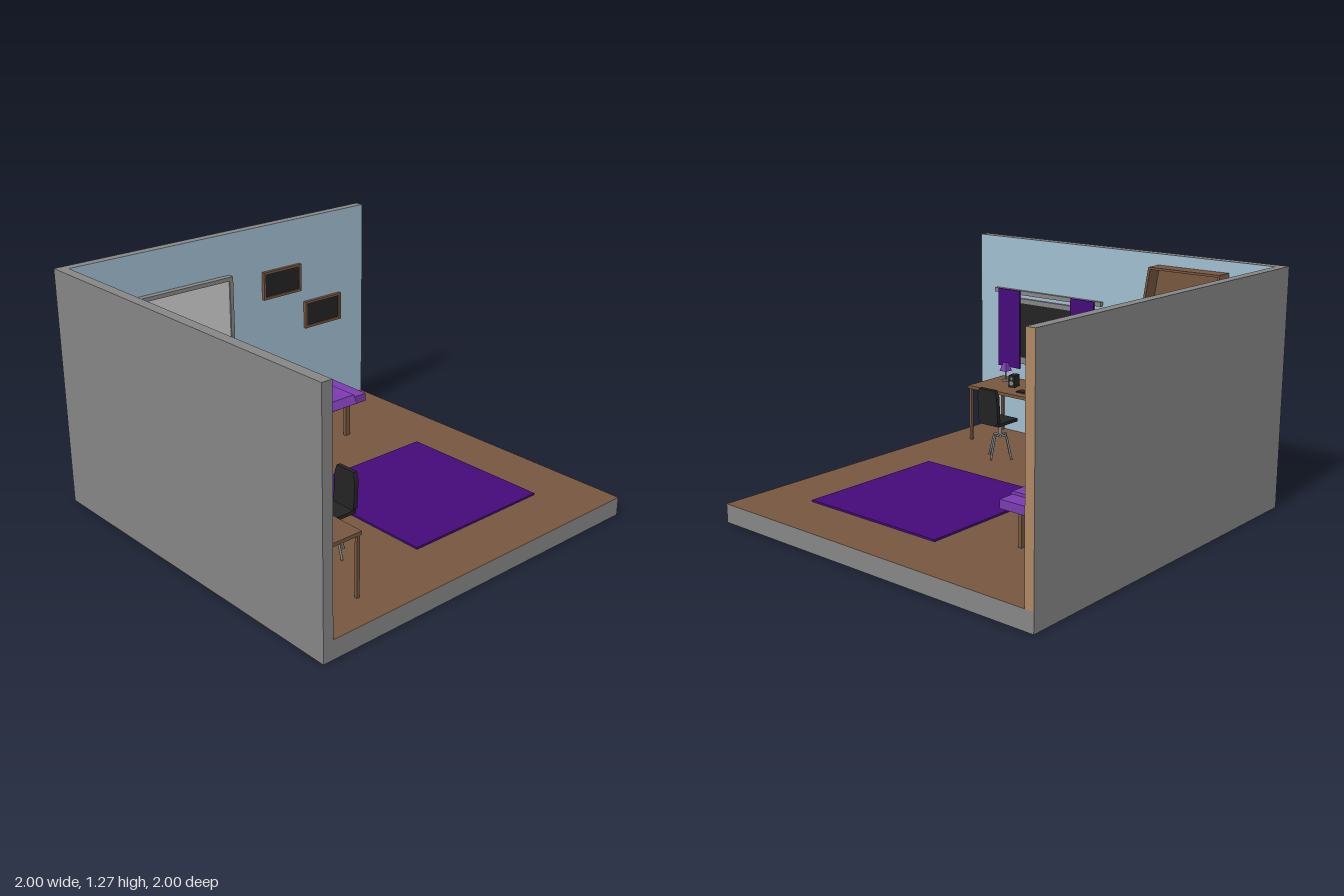
import * as THREE from 'three';

const mat = (name, color) => Object.assign(new THREE.MeshStandardMaterial({ color }), { name });
const grey = mat('grey', 0x858585);
const blue = mat('wall blue', 0xa0becf);
const brown = mat('wood brown', 0x76563f);
const tan = mat('tan', 0xae8763);
const violet = mat('dark purple', 0x450a7a);
const purple = mat('purple', 0x7a3bb0);
const black = mat('black', 0x232323);
const white = mat('white', 0xcfcfcf);

export function createModel() {
  const room = new THREE.Group();
  room.name = 'bedroom';

  const add = (name, geometry, material, parent = room) => {
    const mesh = new THREE.Mesh(geometry, material);
    mesh.name = name;
    parent.add(mesh);
    return mesh;
  };
  // Box given by its limits on each axis
  const box = (name, material, [x0, x1], [y0, y1], [z0, z1], parent = room) => {
    const mesh = add(name, new THREE.BoxGeometry(x1 - x0, y1 - y0, z1 - z0), material, parent);
    mesh.position.set((x0 + x1) / 2, (y0 + y1) / 2, (z0 + z1) / 2);
    return mesh;
  };
  const group = (name) => {
    const g = new THREE.Group();
    g.name = name;
    room.add(g);
    return g;
  };
  // Straight round bar between two points
  const bar = (name, material, from, to, r, parent) => {
    const a = new THREE.Vector3(...from), b = new THREE.Vector3(...to);
    const mesh = add(name, new THREE.CylinderGeometry(r, r, a.distanceTo(b), 8), material, parent);
    mesh.position.copy(a).lerp(b, 0.5);
    mesh.quaternion.setFromUnitVectors(new THREE.Vector3(0, 1, 0), b.sub(a).normalize());
    return mesh;
  };
  // Outline of [z, y] points extruded along x
  const outline = (points) => new THREE.Shape(points.map(([z, y]) => new THREE.Vector2(-z, y)));
  const extrudeX = (shape, x0, x1) => new THREE.ExtrudeGeometry(shape, { depth: x1 - x0, bevelEnabled: false })
    .rotateY(Math.PI / 2).translate(x0, 0, 0);

  // Floor and two walls (material order: +x -x +y -y +z -z)
  box('floor', [grey, grey, brown, grey, grey, grey], [-1, 1], [0, 0.1], [-1, 1]);
  box('backWall', [tan, grey, grey, grey, blue, grey], [-1, 1], [0.1, 1.27], [-1, -0.95]);
  box('leftWall', [blue, grey, grey, grey, grey, grey], [-1, -0.945], [0.1, 1.27], [-0.95, 1]);
  box('rug', violet, [-0.15, 0.7], [0.1, 0.11], [-0.16, 0.695]);

  // Framed boards on the back wall
  const framed = (name, frame, face, x0, x1, y0, y1, depth, rim) => {
    const g = group(name);
    const z0 = -0.95, z1 = z0 + depth;
    box('frameTop', frame, [x0, x1], [y1 - rim, y1], [z0, z1], g);
    box('frameBottom', frame, [x0, x1], [y0, y0 + rim], [z0, z1], g);
    box('frameLeft', frame, [x1 - rim, x1], [y0 + rim, y1 - rim], [z0, z1], g);
    box('frameRight', frame, [x0, x0 + rim], [y0 + rim, y1 - rim], [z0, z1], g);
    box('panel', face, [x0 + rim, x1 - rim], [y0 + rim, y1 - rim], [z0, z1 - 0.008], g);
  };
  framed('whiteboard', grey, white, -0.635, 0.02, 0.64, 1.04, 0.036, 0.022);
  framed('upperPicture', brown, black, 0.245, 0.515, 0.85, 1.01, 0.02, 0.014);
  framed('lowerPicture', brown, black, 0.545, 0.815, 0.615, 0.775, 0.02, 0.014);

  // Bed
  const bed = group('bed');
  for (const x of [-0.475, 0.485]) for (const z of [-0.86, -0.51])
    box('bedLeg', brown, [x - 0.016, x + 0.016], [0.1, 0.3], [z - 0.01, z + 0.01], bed);
  box('mattress', purple, [-0.34, 0.58], [0.3, 0.345], [-0.91, -0.455], bed);
  box('mattressHead', white, [-0.525, -0.34], [0.3, 0.345], [-0.91, -0.455], bed);
  const pillow = new THREE.BoxGeometry(0.185, 0.016, 0.455);
  const pp = pillow.attributes.position;
  for (let i = 0; i < pp.count; i++)
    if (pp.getY(i) > 0) pp.setXYZ(i, pp.getX(i) * 0.8, pp.getY(i), pp.getZ(i) * 0.82);
  pillow.computeVertexNormals();
  add('pillow', pillow, white, bed).position.set(-0.4325, 0.353, -0.6825);
  add('blanket', extrudeX(outline([[-0.91, 0.345], [-0.91, 0.36], [-0.455, 0.36], [-0.43, 0.315],
    [-0.445, 0.312], [-0.455, 0.345]]), -0.25, 0.49), purple, bed);

  // Hexagonal bookcase
  const bookcase = group('bookcase');
  const hexagon = (t) => [[-0.28 - t, 0.1 + t], [-0.67 + t, 0.1 + t], [-0.78 + t, 0.655],
    [-0.69 + t, 1.21 - t], [-0.26 - t, 1.21 - t], [-0.17 - t, 0.655]];
  const rim = outline(hexagon(0));
  rim.holes.push(outline(hexagon(0.012)));
  add('bookcaseFrame', extrudeX(rim, -0.945, -0.85), brown, bookcase);
  add('bookcaseBack', extrudeX(outline(hexagon(0.012)), -0.945, -0.937), brown, bookcase);
  for (const y of [0.235, 0.385, 0.555, 0.705, 0.86, 1.025]) {
    const k = Math.abs(y - 0.655) / 0.555;
    const half = (y < 0.655 ? 0.305 - 0.11 * k : 0.305 - 0.09 * k) - 0.012;
    box('shelf', brown, [-0.937, -0.853], [y - 0.006, y + 0.006], [-0.475 - half, -0.475 + half], bookcase);
  }
  // Things on the shelves
  [[-0.24, 0.05, black], [-0.26, 0.09, brown], [-0.28, 0.055, black], [-0.3, 0.05, brown]].forEach(([z, h, m]) =>
    box('book', m, [-0.93, -0.87], [0.711, 0.711 + h], [z - 0.008, z + 0.008], bookcase));
  [[-0.355, brown], [-0.375, black]].forEach(([z, m]) => {
    box('leaningBook', m, [-0.93, -0.87], [0.715, 0.765], [z - 0.006, z + 0.006], bookcase).rotation.x = -0.6;
  });
  box('lyingBook', white, [-0.93, -0.86], [0.711, 0.725], [-0.52, -0.435], bookcase);
  box('smallBook', purple, [-0.925, -0.87], [0.725, 0.74], [-0.51, -0.455], bookcase);
  box('smallBox', brown, [-0.92, -0.865], [0.391, 0.44], [-0.5, -0.45], bookcase);

  // Window with curtains
  const win = group('window');
  box('glass', black, [-0.945, -0.938], [0.57, 0.89], [0.29, 0.69], win);
  box('windowHead', grey, [-0.945, -0.928], [0.89, 0.92], [0.27, 0.71], win);
  box('windowSill', grey, [-0.945, -0.928], [0.53, 0.57], [0.27, 0.71], win);
  for (const z of [0.28, 0.7])
    box('windowSide', grey, [-0.945, -0.928], [0.57, 0.89], [z - 0.01, z + 0.01], win);
  box('curtainRail', grey, [-0.945, -0.925], [0.942, 0.967], [0.1, 0.875], win);
  for (const z of [0.14, 0.677])
    box('curtain', violet, [-0.924, -0.915], [0.5, 0.967], [z, z + 0.165], win);

  // Desk
  const desk = group('desk');
  box('deskTop', brown, [-0.945, -0.63], [0.412, 0.43], [0.09, 0.83], desk);
  for (const x of [-0.928, -0.647]) for (const z of [0.1, 0.82])
    box('deskLeg', brown, [x - 0.008, x + 0.008], [0.1, 0.412], [z - 0.008, z + 0.008], desk);
  box('computerTower', black, [-0.89, -0.69], [0.1, 0.285], [0.14, 0.222], desk);
  box('keyboard', black, [-0.735, -0.685], [0.43, 0.438], [0.39, 0.51], desk);
  box('monitor', black, [-0.795, -0.78], [0.455, 0.555], [0.39, 0.515], desk);
  box('monitorNeck', black, [-0.8, -0.79], [0.43, 0.5], [0.44, 0.465], desk);
  box('monitorFoot', black, [-0.81, -0.765], [0.43, 0.436], [0.415, 0.49], desk);
  // Speakers turned towards the chair
  for (const s of [-1, 1]) {
    const speaker = group('speaker');
    speaker.position.set(-0.785, 0.43, 0.457 + s * 0.152);
    speaker.rotation.y = s * 0.2;
    box('speakerCase', black, [-0.03, 0.03], [0, 0.07], [-0.02, 0.02], speaker);
    for (const [y, r] of [[0.025, 0.013], [0.053, 0.007]]) {
      const cone = add('speakerCone', new THREE.CylinderGeometry(r, r, 0.004, 16), grey, speaker);
      cone.rotation.z = Math.PI / 2;
      cone.position.set(0.031, y, 0);
    }
  }
  // Lamp
  const lamp = group('lamp');
  lamp.position.set(-0.857, 0.43, 0.735);
  add('lampBase', new THREE.CylinderGeometry(0.02, 0.022, 0.008, 16), grey, lamp).position.y = 0.004;
  bar('lampStem', grey, [0, 0, 0], [0, 0.08, 0], 0.004, lamp);
  const shade = add('lampShade', new THREE.CylinderGeometry(0.014, 0.037, 0.05, 4).toNonIndexed(), purple, lamp);
  shade.geometry.computeVertexNormals();
  shade.position.y = 0.087;
  shade.rotation.y = Math.PI / 4;

  // Desk chair
  const chair = group('chair');
  const cx = -0.485, cz = 0.457;
  box('seat', black, [-0.55, -0.385], [0.31, 0.328], [0.385, 0.525], chair);
  const back = add('backrest', extrudeX(outline([[0.41, 0], [0.387, 0.025], [0.387, 0.165], [0.4, 0.205],
    [0.514, 0.205], [0.527, 0.165], [0.527, 0.025], [0.504, 0]]), -0.012, 0.012), black, chair);
  back.position.set(-0.393, 0.312, 0);
  back.rotation.z = -0.05;
  bar('chairPost', grey, [cx, 0.22, cz], [cx, 0.31, cz], 0.01, chair);
  for (const [dx, dz] of [[1, 0], [-1, 0], [0, 1], [0, -1]]) {
    const knee = [cx + dx * 0.045, 0.232, cz + dz * 0.045];
    bar('chairArm', grey, [cx, 0.235, cz], knee, 0.006, chair);
    bar('chairLeg', grey, knee, [cx + dx * 0.082, 0.103, cz + dz * 0.082], 0.006, chair);
  }
  return room;
}
